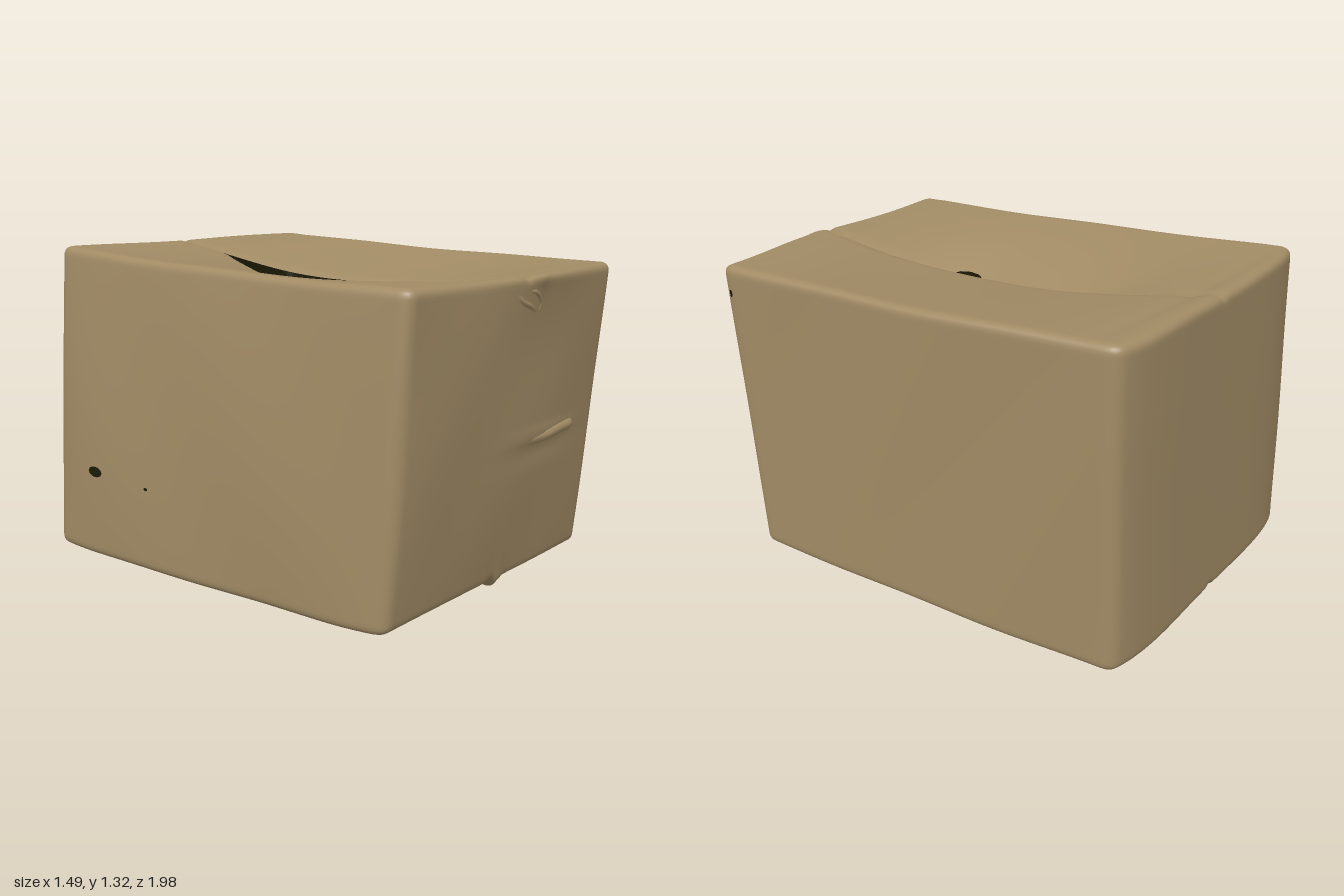
import * as THREE from 'three';
import { mergeGeometries, mergeVertices } from 'three/addons/utils/BufferGeometryUtils.js';

const N = 56;          // grid cells across a panel
const R = 0.055;       // softness of the box edges
const V = (x, y, z) => new THREE.Vector3(x, y, z);
const gauss = (d, w) => Math.exp(-(d * d) / (w * w));
const spread = t => 0.5 * t + 0.5 * Math.sin(t * Math.PI / 2); // denser near the edges
const seam = z => 0.035 * (1 - z ** 8);                        // where the top flaps meet

// Sagging corners, indexed by (right, top, front) bits
const CORNERS = [
  V(-0.71, 0.005, -0.99), V(0.725, 0, -0.885), V(-0.635, 1.325, -0.98), V(0.745, 1.32, -0.87),
  V(-0.695, 0.035, 0.82), V(0.70, 0.03, 0.83), V(-0.665, 1.275, 0.89), V(0.675, 1.28, 0.955),
];

// Maps a point on the cube [-1, 1] to the worn, dented box
function onBox(c) {
  const k = 1 - R;
  const inner = c.clone().clamp(V(-k, -k, -k), V(k, k, k));
  const p = c.clone().sub(inner).setLength(R).add(inner);
  const q = V(0, 0, 0);
  CORNERS.forEach((corner, i) => {
    const w = (1 + (i & 1 ? p.x : -p.x)) * (1 + (i & 2 ? p.y : -p.y)) * (1 + (i & 4 ? p.z : -p.z)) / 8;
    q.addScaledVector(corner, w);
  });
  const left = Math.max(0, -p.x) ** 2, right = Math.max(0, p.x) ** 2;
  const front = Math.max(0, p.z) ** 4, back = Math.max(0, -p.z) ** 4;
  const top = Math.max(0, p.y) ** 4, bottom = Math.max(0, -p.y) ** 4;
  const inset = 1 - p.x ** 4;
  // bowed side walls, bulging front and back
  q.x -= left * (1 - p.z ** 6) * (0.025 + 0.025 * (1 - p.y * p.y) - 0.015 * p.y);
  q.x += right * 0.015 * (1 - p.z * p.z);
  q.z += front * inset * (0.045 * gauss(p.x - 0.25, 0.5) * Math.max(0, p.y) ** 3 + 0.025 * (1 - p.y * p.y));
  q.z += front * 0.02 * gauss(p.x - 0.1, 0.08) * Math.max(0, p.y) ** 12;
  q.z -= back * 0.045 * (1 - p.x ** 6);
  // top flaps sinking in a shallow V, with tucked folds at both ends
  q.y -= top * (1 - p.z * p.z) * (0.01 + 0.095 * (1 - Math.abs(p.x)));
  q.y -= top * inset * 0.007 * (gauss(p.z + 0.89 - 0.04 * p.x, 0.03) + gauss(p.z - 0.92, 0.025));
  q.y -= top * 0.01 * gauss(p.x - seam(p.z), 0.025);
  // bottom seam, with a notch and a bent tip at the front
  q.y += bottom * 0.02 * gauss(p.x, 0.03);
  q.y -= bottom * front * 0.035 * gauss(p.x - 0.06, 0.035);
  // pressed area under the front ridge
  q.z += front * (0.01 * gauss(p.y + 0.05, 0.035) - 0.007 * gauss(p.y + 0.15, 0.07)) * gauss(p.x - 0.35, 0.3);
  // gentle unevenness
  q.x += 0.003 * p.x * Math.sin(6 * p.z + 3 * p.y);
  q.y += 0.002 * p.y * Math.sin(5 * p.x + 7 * p.z);
  q.z += 0.002 * p.z * Math.sin(6 * p.x - 4 * p.y);
  return q;
}

// Opening between the top flaps, with a torn notch on the left flap
const slit = z => 0.06 * Math.max(0, 1 - ((z + 0.04) / 0.68) ** 2);
const tear = z => 0.15 * Math.sqrt(Math.max(0, 1 - ((z - 0.26) / 0.11) ** 2));

// Grid over columns i0..i1 of one cube face; place(a, b) gives a surface point
function panel(place, i0 = 0, i1 = N) {
  const pos = [], index = [], w = i1 - i0 + 1;
  for (let j = 0; j <= N; j++) {
    for (let i = i0; i <= i1; i++) {
      pos.push(...place(spread(i / N * 2 - 1), spread(j / N * 2 - 1)).toArray());
      if (i < i1 && j < N) {
        const a = j * w + i - i0, b = a + 1, c = a + w, d = c + 1;
        index.push(a, b, d, a, d, c);
      }
    }
  }
  const g = new THREE.BufferGeometry();
  g.setAttribute('position', new THREE.Float32BufferAttribute(pos, 3));
  g.setIndex(index);
  return g;
}

function leftFlap(a, b) {
  const z = -b, gap = slit(z) + tear(z);
  const u = -1 + (a + 1) * (1 + seam(z) - gap);
  const q = onBox(V(u, 1, z));
  // hangs below the right flap, lowest around the tear
  const sag = 1.1 * slit(z) + 0.045 * gauss(z - 0.25, 0.2);
  q.y -= sag * Math.max(0, 1 + u) ** 3;
  return q;
}

function rightFlap(a, b) {
  const s = seam(-b);
  return onBox(V(s + a * (1 - s), 1, -b));
}

function boxShell() {
  const panels = [
    panel((a, b) => onBox(V(a, b, 1))),
    panel((a, b) => onBox(V(-a, b, -1))),
    panel((a, b) => onBox(V(1, b, -a))),
    panel((a, b) => onBox(V(-1, b, a))),
    panel((a, b) => onBox(V(a, -1, b))),
    panel(leftFlap, 0, N / 2),
    panel(rightFlap, N / 2, N),
  ];
  const g = mergeVertices(mergeGeometries(panels), 1e-5);
  g.computeVertexNormals();
  return g;
}

export function createModel() {
  const group = new THREE.Group();
  const cardboard = new THREE.MeshStandardMaterial({ color: 0xa18b65 });
  cardboard.name = 'cardboard';
  const shade = new THREE.MeshStandardMaterial({ color: 0x1c1a07 });
  shade.name = 'dark inside';

  const add = (name, geometry, material) => {
    const mesh = new THREE.Mesh(geometry, material);
    mesh.name = name;
    group.add(mesh);
  };

  const shell = boxShell();
  add('cardboardBox', shell, cardboard);

  // Inward-facing lining, seen through the slit
  const lining = shell.clone();
  lining.index.array.reverse();
  lining.translate(0, -0.65, 0).scale(0.99, 0.99, 0.99).translate(0, 0.65, 0);
  lining.computeVertexNormals();
  add('lining', lining, shade);

  // Raised wrinkles on the front; both ends dive into the panel
  const wrinkle = (name, points, radius) => {
    const path = points.map(([x, y], i) => {
      const q = onBox(V(x / 0.69, (y - 0.03) / 0.622 - 1, 1));
      q.z -= radius * (i === 0 || i === points.length - 1 ? 1.3 : 0.45);
      return q;
    });
    add(name, new THREE.TubeGeometry(new THREE.CatmullRomCurve3(path), 32, radius, 10), cardboard);
  };
  wrinkle('frontRidge', [[0.1, 0.605], [0.25, 0.61], [0.36, 0.618], [0.45, 0.622], [0.485, 0.622]], 0.024);
  wrinkle('tabUpperEdge', [[0, 1.215], [0.04, 1.205], [0.08, 1.18], [0.1, 1.15], [0.085, 1.11]], 0.01);
  wrinkle('tabLowerEdge', [[-0.07, 1.215], [-0.03, 1.175], [0.03, 1.15], [0.095, 1.115]], 0.012);

  // Small punctures: flat dark patches laid on the walls
  const puncture = (name, place, a, b, ra, rb) => {
    const pos = place(a, b).toArray(), index = [];
    for (let i = 0; i < 10; i++) {
      const t = i / 10 * Math.PI * 2;
      pos.push(...place(a + ra * Math.cos(t), b + rb * Math.sin(t)).toArray());
      index.push(0, i + 1, (i + 1) % 10 + 1);
    }
    const g = new THREE.BufferGeometry();
    g.setAttribute('position', new THREE.Float32BufferAttribute(pos, 3));
    g.setIndex(index);
    g.computeVertexNormals();
    add(name, g, shade);
  };
  const leftWall = (a, b) => onBox(V(-1, b, a)).add(V(-0.003, 0, 0));
  const rightWall = (a, b) => onBox(V(1, b, -a)).add(V(0.003, 0, 0));
  const floor = (a, b) => onBox(V(a, -1, b)).add(V(0, -0.003, 0));
  puncture('leftPunctureLarge', leftWall, -0.67, -0.42, 0.05, 0.035);
  puncture('leftPunctureSmall', leftWall, -0.32, -0.45, 0.012, 0.01);
  puncture('cornerPuncture', rightWall, -0.955, 0.82, 0.01, 0.025);
  puncture('bottomSlit', floor, 0, 0, 0.008, 0.13);

  return group;
}
